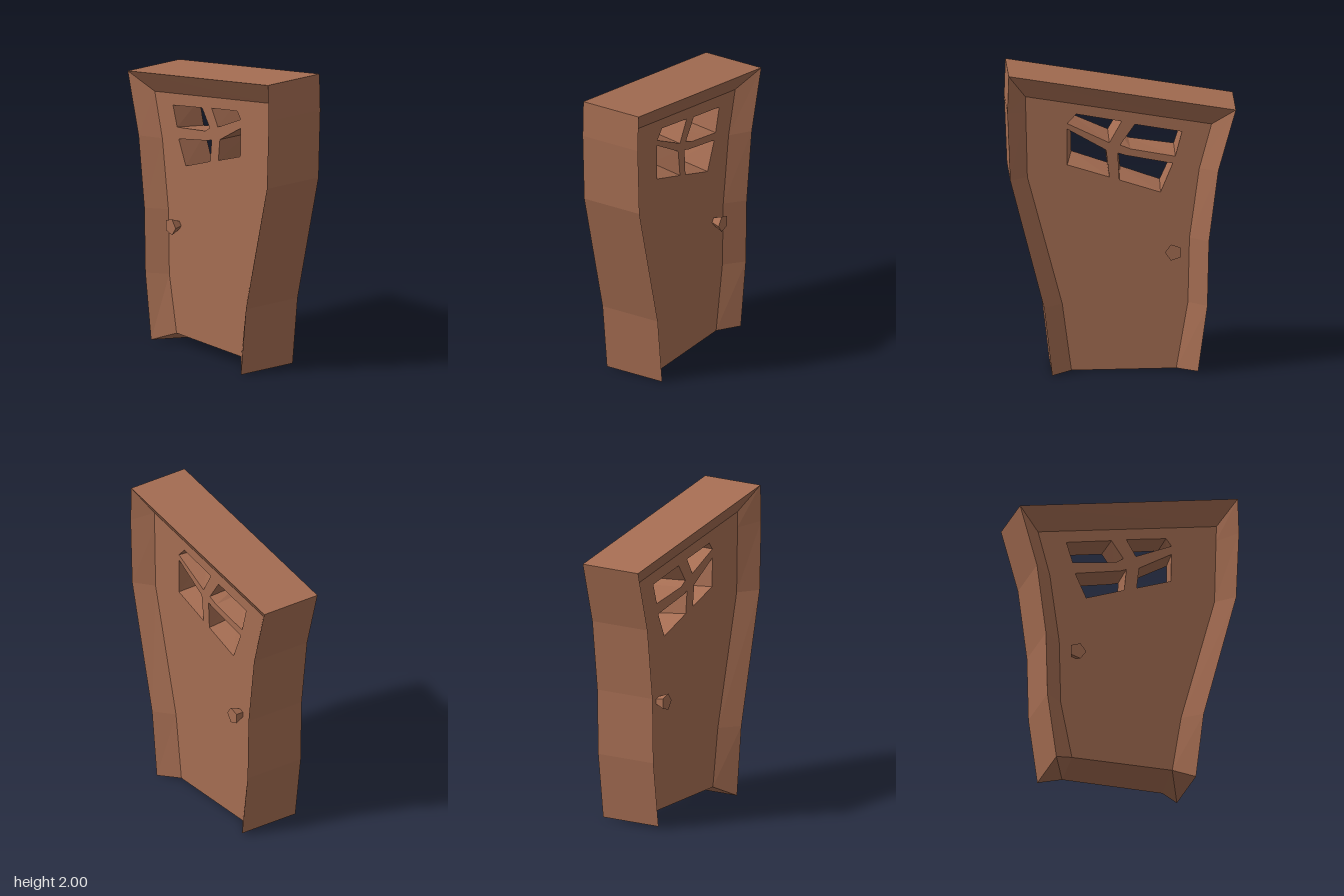
import * as THREE from 'three';

const FRAME_X = 0.21, PANEL_X = 0.108, KNOB_X = 0.175;

// [z, y] outlines, from the front foot up, across the top and down the back
const outer = [[0.445, 0], [0.497, 0.45], [0.715, 1.305], [0.733, 1.76], [0.725, 2],
  [-0.733, 1.755], [-0.62, 1.35], [-0.56, 0.88], [-0.55, 0.45], [-0.49, 0.015]];
const inner = [[0.317, 0.005], [0.376, 0.45], [0.6, 1.3], [0.61, 1.73], [0.613, 1.835],
  [-0.582, 1.635], [-0.503, 1.34], [-0.44, 0.88], [-0.43, 0.45], [-0.355, 0.01]];

// window panes: [z, y on the +x face, z, y on the -x face]
const panes = [
  [[0.344, 1.651, 0.312, 1.656], [0.286, 1.714, 0.275, 1.704],
    [-0.005, 1.661, 0.01, 1.661], [0.074, 1.519, 0.074, 1.55]],
  [[-0.09, 1.64, -0.09, 1.64], [-0.392, 1.587, -0.392, 1.587], [-0.349, 1.423, -0.349, 1.45],
    [-0.063, 1.476, -0.058, 1.492], [0.005, 1.503, -0.01, 1.524]],
  [[0.344, 1.614, 0.312, 1.598], [0.095, 1.471, 0.095, 1.471],
    [0.074, 1.291, 0.079, 1.328], [0.344, 1.376, 0.307, 1.407]],
  [[0.02, 1.45, 0.01, 1.45], [-0.032, 1.434, -0.032, 1.434], [-0.333, 1.376, -0.333, 1.376],
    [-0.254, 1.185, -0.259, 1.212], [0.01, 1.27, -0.005, 1.302]],
];

// the panel foot is cut higher on the -x side
function innerPoint(i, side) {
  const [z, y] = inner[i];
  return [side * PANEL_X, side < 0 ? Math.max(y, 0.072) : y, z];
}
const outerPoint = (i, side) => [side * FRAME_X, outer[i][1], outer[i][0]];
const panePoint = (p, side) => side > 0 ? [PANEL_X, p[1], p[0]] : [-PANEL_X, p[3], p[2]];

function quadGeometry(quads) {
  const pos = quads.flatMap(([a, b, c, d]) => [a, b, c, a, c, d].flat());
  const g = new THREE.BufferGeometry();
  g.setAttribute('position', new THREE.Float32BufferAttribute(pos, 3));
  g.computeVertexNormals();
  return g;
}

export function createModel() {
  const group = new THREE.Group();
  const wood = new THREE.MeshStandardMaterial({ color: 0xa56d52, flatShading: true });
  wood.name = 'brown wood';
  const add = (geometry, name) => {
    const mesh = new THREE.Mesh(geometry, wood);
    mesh.name = name;
    group.add(mesh);
    return mesh;
  };
  const last = outer.length - 1;

  // crooked frame: outer wall and a bevel running in to the panel on both sides
  const frame = [];
  for (let i = 0; i < last; i++) {
    const j = i + 1;
    frame.push([outerPoint(i, -1), outerPoint(i, 1), outerPoint(j, 1), outerPoint(j, -1)]);
    frame.push([outerPoint(i, 1), innerPoint(i, 1), innerPoint(j, 1), outerPoint(j, 1)]);
    frame.push([outerPoint(j, -1), innerPoint(j, -1), innerPoint(i, -1), outerPoint(i, -1)]);
  }
  // undersides of the two jambs and of the panel
  const foot = (side) => [outerPoint(0, side), innerPoint(0, side), innerPoint(last, side), outerPoint(last, side)];
  const right = foot(1), left = foot(-1);
  for (let i = 0; i < 3; i++) frame.push([right[i], left[i], left[i + 1], right[i + 1]]);
  add(quadGeometry(frame), 'frame');

  // panel faces with the pane openings cut out, and a knob on each
  for (const side of [1, -1]) {
    const flat = ([, y, z]) => new THREE.Vector2(-side * z, y);
    const shape = new THREE.Shape(inner.map((_, i) => flat(innerPoint(i, side))));
    shape.holes = panes.map((pane) => new THREE.Path(pane.map((p) => flat(panePoint(p, side)))));
    const face = new THREE.ShapeGeometry(shape);
    face.rotateY(side * Math.PI / 2);
    face.translate(side * PANEL_X, 0, 0);
    add(face, side > 0 ? 'doorPanelLeft' : 'doorPanelRight');

    const knob = new THREE.CylinderGeometry(0.056, 0.028, KNOB_X - PANEL_X, 5);
    knob.rotateZ(-side * Math.PI / 2);
    knob.translate(side * (KNOB_X + PANEL_X) / 2, 0.8, -0.335);
    add(knob, side > 0 ? 'knobLeft' : 'knobRight');
  }

  // reveals through the thickness of the panel
  const reveals = panes.flatMap((pane) => pane.map((a, i) => {
    const b = pane[(i + 1) % pane.length];
    return [panePoint(a, 1), panePoint(a, -1), panePoint(b, -1), panePoint(b, 1)];
  }));
  add(quadGeometry(reveals), 'windowReveals');

  return group;
}
